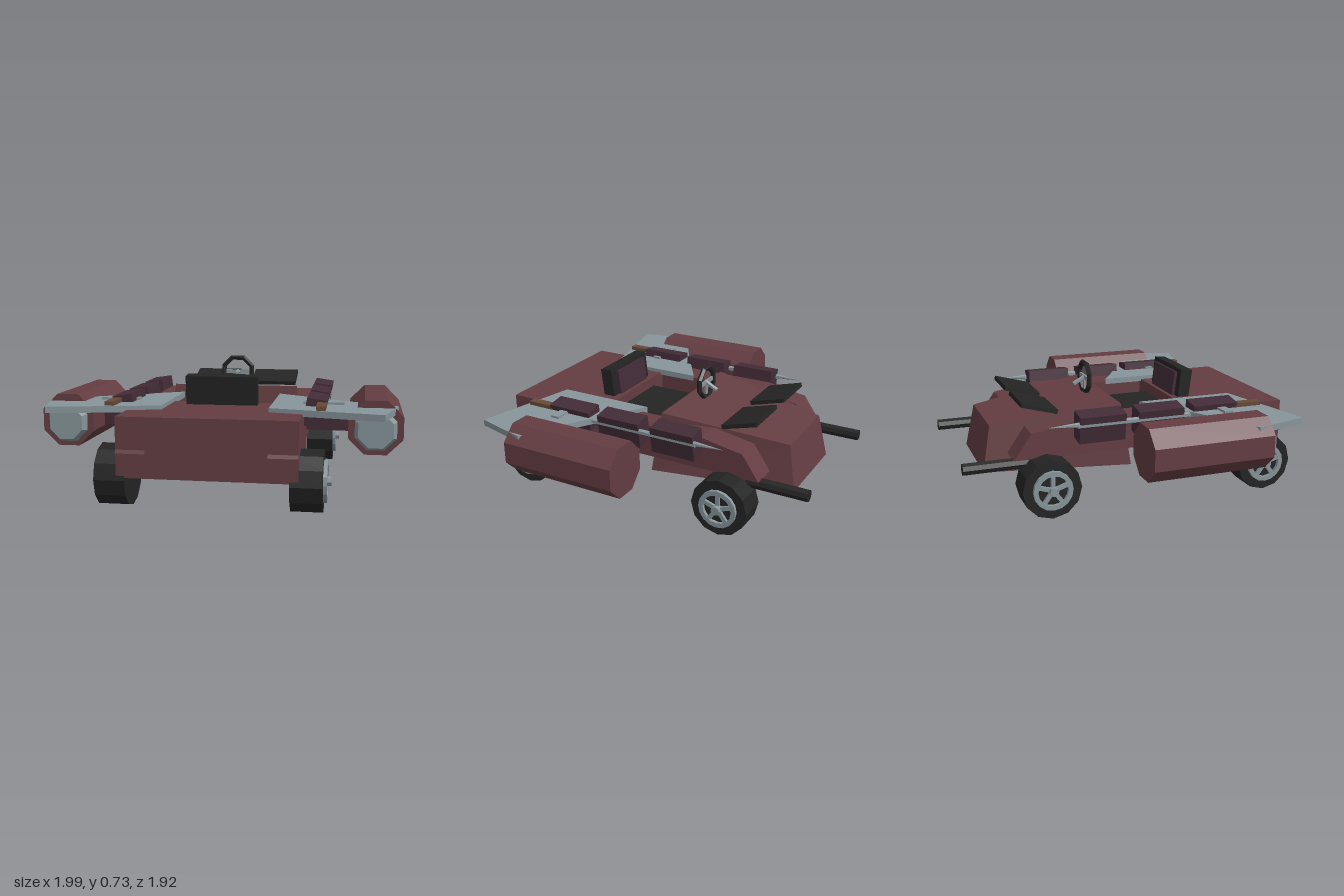
import * as THREE from 'three';

const mat = (name, color) => {
  const m = new THREE.MeshStandardMaterial({ color });
  m.name = name;
  return m;
};

export function createModel() {
  const red = mat('dark red paint', 0x643d42);
  const plum = mat('plum metal', 0x432c37);
  const grey = mat('grey metal', 0x87959a);
  const black = mat('black rubber', 0x232423);
  const brown = mat('brown grip', 0x684b38);
  const model = new THREE.Group();
  model.name = 'buggy';

  // Adds a faceted mesh
  const add = (name, geo, material, parent = model) => {
    const g = geo.index ? geo.toNonIndexed() : geo;
    g.computeVertexNormals();
    const mesh = new THREE.Mesh(g, material);
    mesh.name = name;
    parent.add(mesh);
    return mesh;
  };
  // Box given by its limits on each axis
  const box = (x0, x1, y0, y1, z0, z1) =>
    new THREE.BoxGeometry(Math.abs(x1 - x0), y1 - y0, z1 - z0)
      .translate((x0 + x1) / 2, (y0 + y1) / 2, (z0 + z1) / 2);
  // Cylinder lying along z, from z0 (radius r0) to z1 (radius r1)
  const rod = (x, y, z0, z1, r0, r1, sides, turn = 0) =>
    new THREE.CylinderGeometry(r1, r0, z1 - z0, sides).rotateY(turn)
      .rotateX(Math.PI / 2).translate(x, y, (z0 + z1) / 2);
  const shape = pts => new THREE.Shape(pts.map(p => new THREE.Vector2(...p)));
  const extrude = (s, depth) =>
    new THREE.ExtrudeGeometry(s, { depth, bevelEnabled: false, curveSegments: 8 });

  // Main hull boxes
  add('frontHull', box(-0.47, 0.47, 0.18, 0.5, 0.36, 0.95), red);
  const rear = new THREE.BoxGeometry(2, 2, 2);
  const p = rear.attributes.position;
  for (let i = 0; i < p.count; i++) {
    const top = p.getY(i) > 0, fore = p.getZ(i) > 0;
    const w = fore ? (top ? 0.38 : 0.42) : (top ? 0.23 : 0.265);
    p.setXYZ(i, p.getX(i) * w, top ? (fore ? 0.55 : 0.45) : 0.19,
      fore ? (top ? -0.04 : 0.01) : (top ? -0.77 : -0.82));
  }
  add('rearHull', rear, red);

  // Seat and backrest
  add('seat', box(-0.2, 0.2, 0.36, 0.44, 0.05, 0.37), black);
  const backrest = new THREE.Group();
  backrest.name = 'backrest';
  backrest.position.set(0, 0.57, 0.445);
  backrest.rotation.x = 0.12;
  model.add(backrest);
  add('backrestFrame', box(-0.2, 0.2, -0.09, 0.095, -0.036, 0.036), black, backrest);
  add('backrestPad', box(-0.15, 0.15, -0.075, 0.07, -0.055, -0.036), plum, backrest);

  // Steering wheel
  const steering = new THREE.Group();
  steering.name = 'steeringWheel';
  steering.position.set(0, 0.625, -0.13);
  model.add(steering);
  add('steeringRim', new THREE.TorusGeometry(0.093, 0.016, 5, 8).rotateZ(Math.PI / 8), black, steering);
  for (const a of [0, Math.PI, -Math.PI / 2]) {
    add('steeringSpoke', box(0, 0.09, -0.012, 0.012, -0.006, 0.006).rotateZ(a), grey, steering);
  }
  add('steeringColumn', rod(0, 0, -0.08, 0.01, 0.014, 0.014, 6).rotateX(-0.5), grey, steering);

  // Rim with five spokes, facing +x from x = 0
  const makeRim = (s, parent) => {
    const ring = new THREE.Shape().absarc(0, 0, 0.112, 0, Math.PI * 2);
    ring.holes.push(new THREE.Path().absarc(0, 0, 0.085, 0, Math.PI * 2, true));
    const turn = s * Math.PI / 2;
    add('rimRing', extrude(ring, 0.02).rotateY(turn), grey, parent);
    for (let i = 0; i < 5; i++) {
      add('rimSpoke', box(-0.012, 0.012, 0, 0.095, 0, 0.016)
        .rotateZ(i * Math.PI * 0.4).rotateY(turn), grey, parent);
    }
    add('hub', new THREE.CylinderGeometry(0.026, 0.026, 0.04, 8)
      .rotateZ(Math.PI / 2).translate(s * 0.02, 0, 0), grey, parent);
  };

  for (const s of [1, -1]) {
    // Side rails with sloping ends
    const rail = extrude(shape([[-0.96, 0.31], [-0.86, 0.495], [0.34, 0.5],
      [0.59, 0.455], [0.69, 0.31]]), 0.155).rotateY(Math.PI / 2);
    add('sideRail', rail.translate(s > 0 ? 0.315 : -0.47, 0, 0), red);

    // Wheels
    for (const z of [0.79, -0.51]) {
      const wheel = new THREE.Group();
      wheel.name = z > 0 ? 'frontWheel' : 'rearWheel';
      wheel.position.set(s * 0.59, 0.165, z);
      model.add(wheel);
      add('tyre', new THREE.CylinderGeometry(0.167, 0.167, 0.165, 12).rotateZ(Math.PI / 2)
        .translate(-s * 0.0825, 0, 0), black, wheel);
      makeRim(s, wheel);
    }

    // Exhaust and tilted rear panel
    add('exhaust', rod(s * 0.428, 0.282, -0.965, -0.5, 0.034, 0.034, 8), black);
    const panel = add('rearPanel', box(-0.145, 0.145, -0.012, 0.012, -0.108, 0.108), black);
    panel.position.set(s * 0.195, 0.552, -0.505);
    panel.rotation.x = 0.27;

    // Side pod with its front cap and strut
    add('sidePod', rod(s * 0.85, 0.415, -0.09, 0.6, 0.157, 0.157, 8, Math.PI / 8), red);
    add('podCap', rod(s * 0.85, 0.405, 0.59, 0.64, 0.125, 0.1, 8, Math.PI / 8), grey);
    add('podStrut', box(s * 0.45, s * 0.75, 0.36, 0.44, 0.12, 0.4), plum);

    // Swept front blade
    const blade = shape([[0.29, 0.11], [0.29, 0.69], [0.89, 0.83], [0.97, 0.52],
      [0.75, 0.4], [0.6, 0.31]].map(([x, z]) => [s * x, z]));
    add('blade', extrude(blade, 0.035).rotateX(Math.PI / 2).translate(0, 0.522, 0), grey);
    add('bladeBar', box(s * 0.46, s * 0.68, 0.515, 0.535, 0.465, 0.515), grey);

    // Row of blocks threaded on a pointed rod
    for (const [z0, z1] of [[-0.35, -0.085], [-0.01, 0.26], [0.32, 0.59]]) {
      const block = add('block', box(-0.055, 0.055, -0.077, 0.077, z0, z1), plum);
      block.position.set(s * 0.527, 0.484, 0);
      block.rotation.z = -s * 0.15;
    }
    add('blockRod', rod(s * 0.572, 0.505, -0.36, 0.58, 0.017, 0.017, 6), grey);
    add('rodTip', rod(s * 0.572, 0.51, -0.52, -0.35, 0.001, 0.015, 6), grey);
    add('grip', box(s * 0.54, s * 0.59, 0.515, 0.545, 0.58, 0.74), brown);
  }
  return model;
}
